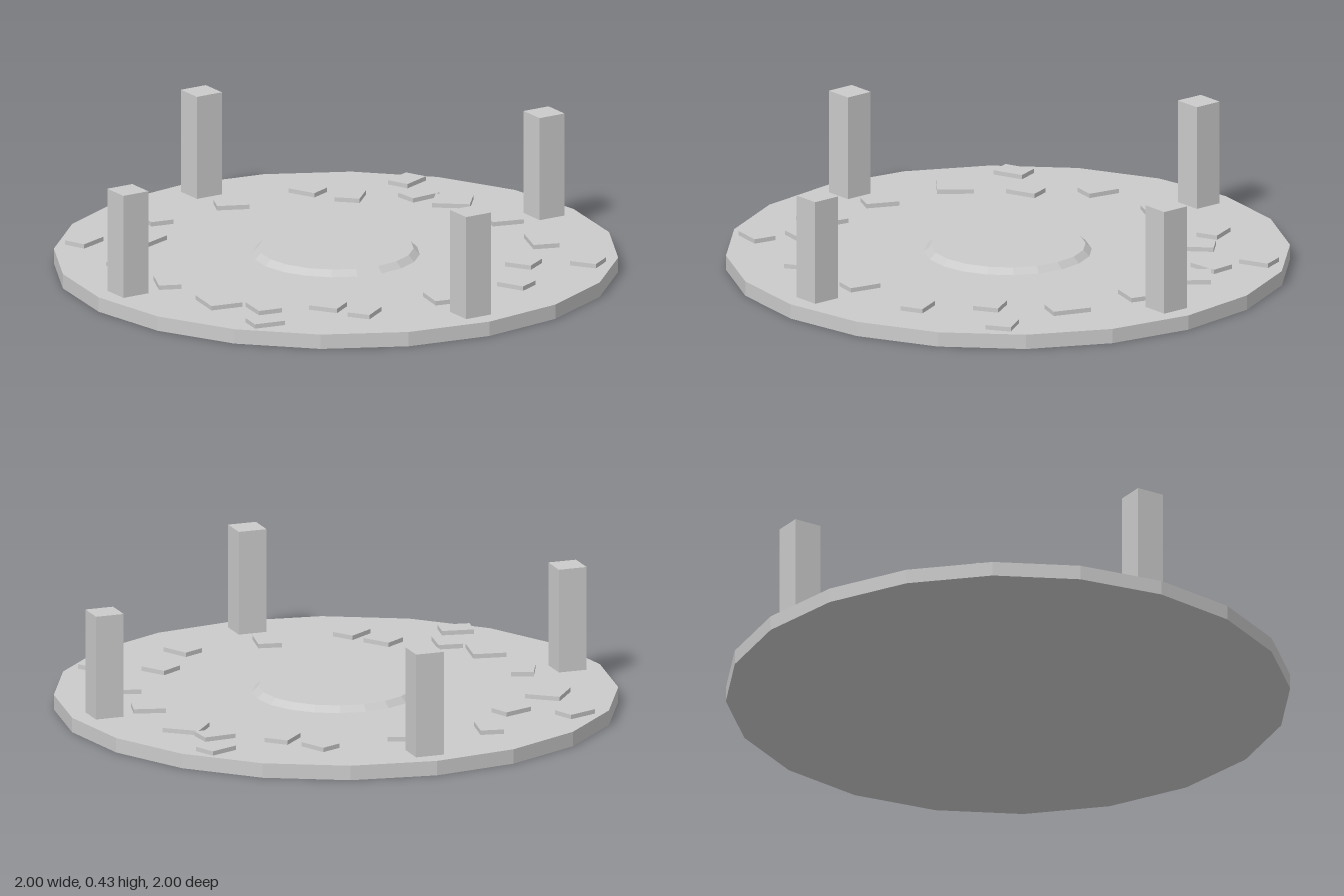
import * as THREE from 'three';

export function createModel() {
  const model = new THREE.Group();
  const material = new THREE.MeshStandardMaterial({ color: 0xcccccc, flatShading: true });
  const deck = 0.053; // height of the platform's upper face

  function add(parent, name, geometry, x, y, z, turn = 0) {
    const mesh = new THREE.Mesh(geometry, material);
    mesh.name = name;
    mesh.position.set(x, y, z);
    mesh.rotation.y = THREE.MathUtils.degToRad(turn);
    parent.add(mesh);
    return mesh;
  }

  // Twenty-sided platform with a low bevelled dais in the middle
  add(model, 'platform', new THREE.CylinderGeometry(1, 1, deck, 20), 0, deck / 2, 0);
  add(model, 'dais', new THREE.CylinderGeometry(0.275, 0.297, 0.022, 20), 0, deck + 0.011, 0);

  // Four square pillars near the rim
  const pillars = new THREE.Group();
  pillars.name = 'pillars';
  const pillarHeight = 0.43 - deck;
  const pillarShape = new THREE.BoxGeometry(0.105, pillarHeight, 0.105);
  for (let i = 0; i < 4; i++) {
    const a = i * Math.PI / 2;
    add(pillars, 'pillar', pillarShape, 0.877 * Math.cos(a), deck + pillarHeight / 2, 0.877 * Math.sin(a));
  }
  model.add(pillars);

  // Scattered paving stones: x, z, width, depth, turn in degrees
  const stones = [
    [-0.68, -0.59, 0.115, 0.085, 21], [-0.32, -0.68, 0.085, 0.12, -10],
    [0, -0.68, 0.117, 0.08, -24], [0.32, -0.68, 0.08, 0.11, 24],
    [0.68, -0.59, 0.115, 0.085, 23], [0.41, -0.54, 0.11, 0.09, 45],
    [-0.48, -0.48, 0.115, 0.08, 21], [0.62, -0.42, 0.118, 0.088, 5],
    [-0.68, -0.32, 0.128, 0.13, -38], [0.68, -0.29, 0.135, 0.122, -39],
    [-0.71, 0, 0.08, 0.12, -24], [0.71, 0, 0.115, 0.088, -15],
    [-0.68, 0.29, 0.12, 0.145, -10], [-0.59, 0.44, 0.088, 0.12, -9],
    [0.68, 0.29, 0.095, 0.14, -19], [0.48, 0.48, 0.093, 0.1, 32],
    [-0.68, 0.59, 0.115, 0.085, -10], [-0.39, 0.55, 0.088, 0.108, 34],
    [-0.32, 0.68, 0.11, 0.085, 34], [0, 0.68, 0.085, 0.12, -11],
    [0.32, 0.68, 0.085, 0.108, 26], [0.68, 0.59, 0.093, 0.1, 34],
  ];
  const paving = new THREE.Group();
  paving.name = 'pavingStones';
  for (const [x, z, width, depth, turn] of stones) {
    add(paving, 'pavingStone', new THREE.BoxGeometry(width, 0.016, depth), x, deck + 0.008, z, turn);
  }
  model.add(paving);

  return model;
}
